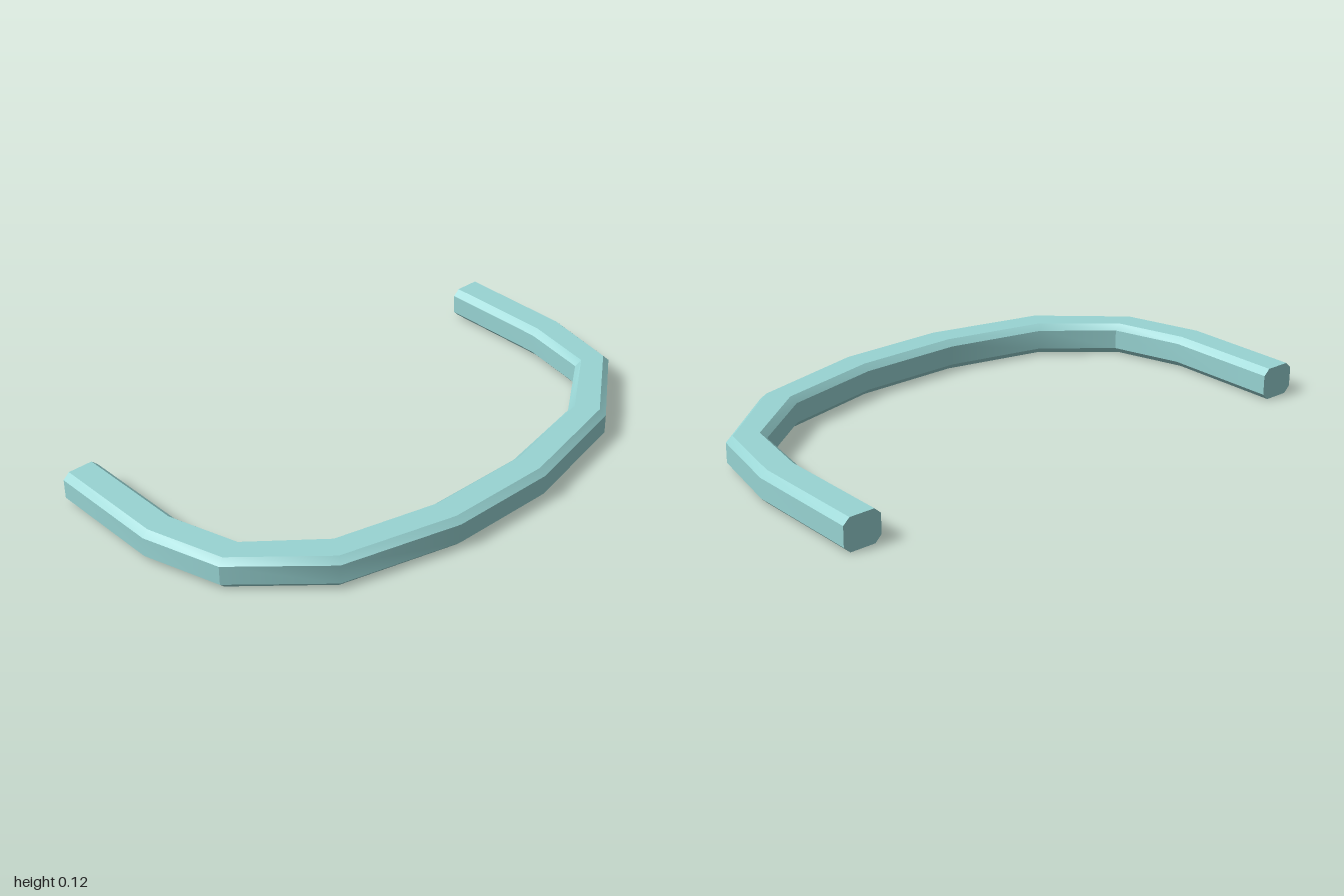
import * as THREE from 'three';
import { toCreasedNormals } from 'three/addons/utils/BufferGeometryUtils.js';

// Mitred stations along the bar: inner x, z and outer x, z
const STATIONS = [
  [-0.55, 0.86, -0.55, 1], [-0.12, 0.86, -0.105, 1], [0.135, 0.785, 0.18, 0.915],
  [0.32, 0.56, 0.437, 0.632], [0.405, 0.195, 0.545, 0.2],
  [0.405, -0.195, 0.545, -0.2], [0.322, -0.565, 0.437, -0.638],
  [0.137, -0.81, 0.192, -0.935], [-0.125, -0.86, -0.11, -1], [-0.55, -0.86, -0.55, -1],
];

// Chamfered section: fraction from inner to outer side, height
const SECTION = [
  [0.17, 0.117], [0.83, 0.117], [1, 0.095], [1, 0.023],
  [0.83, 0], [0.17, 0], [0, 0.023], [0, 0.095],
];

function loft(stations, section) {
  const n = section.length, last = (stations.length - 1) * n;
  const position = [], index = [];
  for (const [ix, iz, ox, oz] of stations) {
    for (const [u, y] of section) position.push(ix + (ox - ix) * u, y, iz + (oz - iz) * u);
  }
  for (let a = 0; a < last; a += n) {
    for (let i = 0; i < n; i++) {
      const j = (i + 1) % n;
      index.push(a + i, a + j, a + n + j, a + i, a + n + j, a + n + i);
    }
  }
  // Flat end caps
  for (let i = 1; i < n - 1; i++) index.push(0, i + 1, i, last, last + i, last + i + 1);
  const geometry = new THREE.BufferGeometry();
  geometry.setAttribute('position', new THREE.Float32BufferAttribute(position, 3));
  geometry.setIndex(index);
  return toCreasedNormals(geometry, 0.5);
}

export function createModel() {
  const group = new THREE.Group();
  group.name = 'curvedRail';
  const bar = new THREE.Mesh(
    loft(STATIONS, SECTION),
    new THREE.MeshStandardMaterial({ color: 0x98d4d3 }),
  );
  bar.name = 'chamferedBar';
  group.add(bar);
  return group;
}
